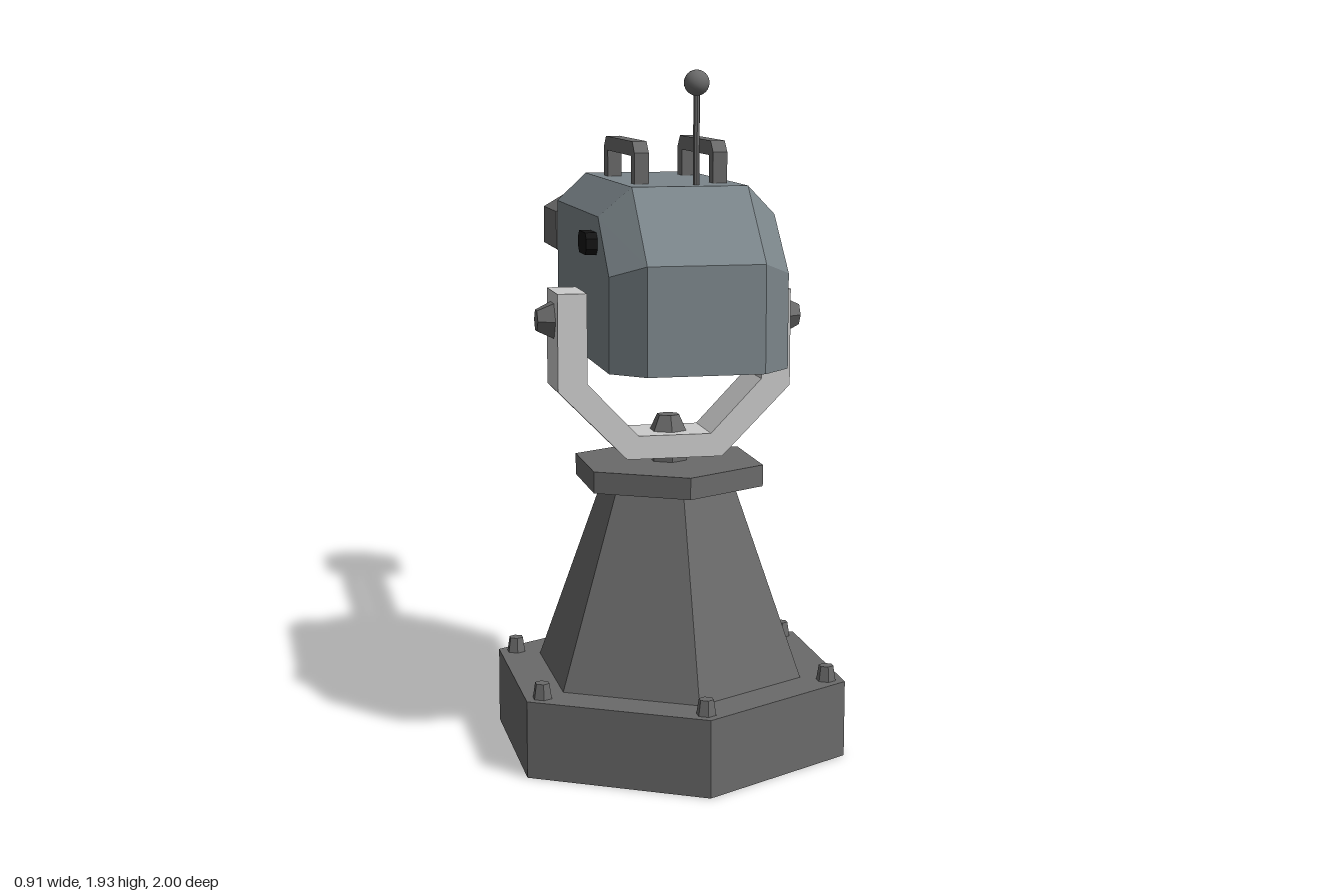
import * as THREE from 'three';
import { ConvexGeometry } from 'three/addons/geometries/ConvexGeometry.js';

const paint = (color) => new THREE.MeshStandardMaterial({ color, flatShading: true });

export function createModel() {
  const model = new THREE.Group();
  const dark = paint(0x6a6a6a);
  const light = paint(0xcccccc);
  const shell = paint(0x7b858a);
  const black = paint(0x141414);
  const axisZ = 0.475; // centre of the stand
  const barrelY = 1.38;

  function add(name, geometry, material, x = 0, y = 0, z = 0) {
    const mesh = new THREE.Mesh(geometry, material);
    mesh.name = name;
    mesh.position.set(x, y, z);
    model.add(mesh);
    return mesh;
  }
  // Upright hexagonal section between two heights
  function hex(name, rBottom, rTop, y0, y1, x = 0, z = axisZ) {
    return add(name, new THREE.CylinderGeometry(rTop, rBottom, y1 - y0, 6), dark, x, (y0 + y1) / 2, z);
  }
  // Section along the barrel, running from z0 back to z1
  function along(name, r0, r1, z0, z1, material, sides = 6, x = 0, y = barrelY) {
    const g = new THREE.CylinderGeometry(r1, r0, z0 - z1, sides).rotateX(-Math.PI / 2);
    return add(name, g, material, x, y, (z0 + z1) / 2);
  }
  // Flat outline with thickness centred on its plane
  function plate(points, depth) {
    const shape = new THREE.Shape(points.map(([x, y]) => new THREE.Vector2(x, y)));
    return new THREE.ExtrudeGeometry(shape, { depth, bevelEnabled: false }).translate(0, 0, -depth / 2);
  }

  // Stand
  hex('base', 0.525, 0.525, 0, 0.217);
  hex('column', 0.395, 0.195, 0.217, 0.765);
  hex('columnFlange', 0.28, 0.28, 0.765, 0.826);
  for (let i = 0; i < 6; i++) {
    const a = (i * Math.PI) / 3;
    hex('baseBolt', 0.028, 0.021, 0.217, 0.26, 0.47 * Math.sin(a), axisZ + 0.47 * Math.cos(a));
  }

  // Swivel and yoke
  hex('swivelPin', 0.055, 0.055, 0.826, 0.91);
  hex('swivelNut', 0.055, 0.033, 0.91, 0.957);
  const half = [[0.104, 0.912], [0.25, 1.064], [0.25, 1.317], [0.333, 1.317], [0.333, 1.044], [0.137, 0.846]];
  const mirrored = half.map(([x, y]) => [-x, y]).reverse();
  add('yoke', plate([...half, ...mirrored], 0.176), light, 0, 0, axisZ);
  add('yokeAxle', new THREE.CylinderGeometry(0.035, 0.035, 0.6, 6).rotateZ(Math.PI / 2), dark, 0, 1.235, axisZ);
  for (const s of [-1, 1]) {
    const g = new THREE.CylinderGeometry(0.033, 0.057, 0.046, 6).rotateZ((-s * Math.PI) / 2);
    add('yokeBolt', g, dark, s * 0.356, 1.235, axisZ);
  }

  // Body: wide side outline and a larger, narrower middle outline, as [z, y]
  const middle = [[0.93, 1.135], [0.93, 1.426], [0.734, 1.62], [0.065, 1.62], [0.065, 1.135]];
  const side = [[0.845, 1.135], [0.845, 1.392], [0.697, 1.539], [0.065, 1.539], [0.065, 1.135]];
  const corners = [];
  for (const s of [-1, 1]) {
    for (const [z, y] of middle) corners.push(new THREE.Vector3(s * 0.16, y, z));
    for (const [z, y] of side) corners.push(new THREE.Vector3(s * 0.245, y, z));
  }
  add('body', new ConvexGeometry(corners), shell);

  // Carrying handles on top
  const handle = [
    [0.625, 1.615], [0.625, 1.705], [0.595, 1.735], [0.228, 1.735], [0.198, 1.705], [0.198, 1.615],
    [0.254, 1.615], [0.254, 1.695], [0.58, 1.695], [0.58, 1.615],
  ];
  for (const s of [-1, 1]) {
    add('handle', plate(handle, 0.04).rotateY(-Math.PI / 2), dark, s * 0.11);
  }

  // Aerial
  add('aerialRod', new THREE.CylinderGeometry(0.009, 0.009, 0.27, 8), dark, 0.03, 1.745, 0.678);
  const ballPaint = new THREE.MeshStandardMaterial({ color: 0x6a6a6a });
  add('aerialBall', new THREE.SphereGeometry(0.035, 16, 12), ballPaint, 0.03, 1.894, 0.678);

  // Side vent with clipped corners
  const vent = [
    [-0.06, -0.014], [-0.044, -0.03], [0.044, -0.03], [0.06, -0.014],
    [0.06, 0.014], [0.044, 0.03], [-0.044, 0.03], [-0.06, 0.014],
  ];
  add('sideVent', plate(vent, 0.04).rotateY(-Math.PI / 2), black, -0.256, 1.465, 0.63);

  // Barrel collar, barrel cluster and hollow muzzle
  along('collar', 0.18, 0.18, 0.07, -0.033, dark);
  along('collarTaper', 0.14, 0.105, -0.033, -0.1, dark);
  along('barrelCore', 0.03, 0.03, -0.09, -0.8, dark, 8);
  for (let i = 0; i < 3; i++) {
    const a = -Math.PI / 2 + (i * 2 * Math.PI) / 3;
    along('barrel', 0.027, 0.027, -0.09, -0.85, light, 10, 0.058 * Math.cos(a), barrelY + 0.058 * Math.sin(a));
  }
  const ring = [[0, 0], [0.125, 0], [0.125, 0.25], [0.093, 0.25], [0.093, 0.08], [0, 0.08]];
  const muzzle = new THREE.LatheGeometry(ring.map(([r, y]) => new THREE.Vector2(r, y)), 6);
  add('muzzle', muzzle.rotateX(-Math.PI / 2), dark, 0, barrelY, -0.75);

  return model;
}
